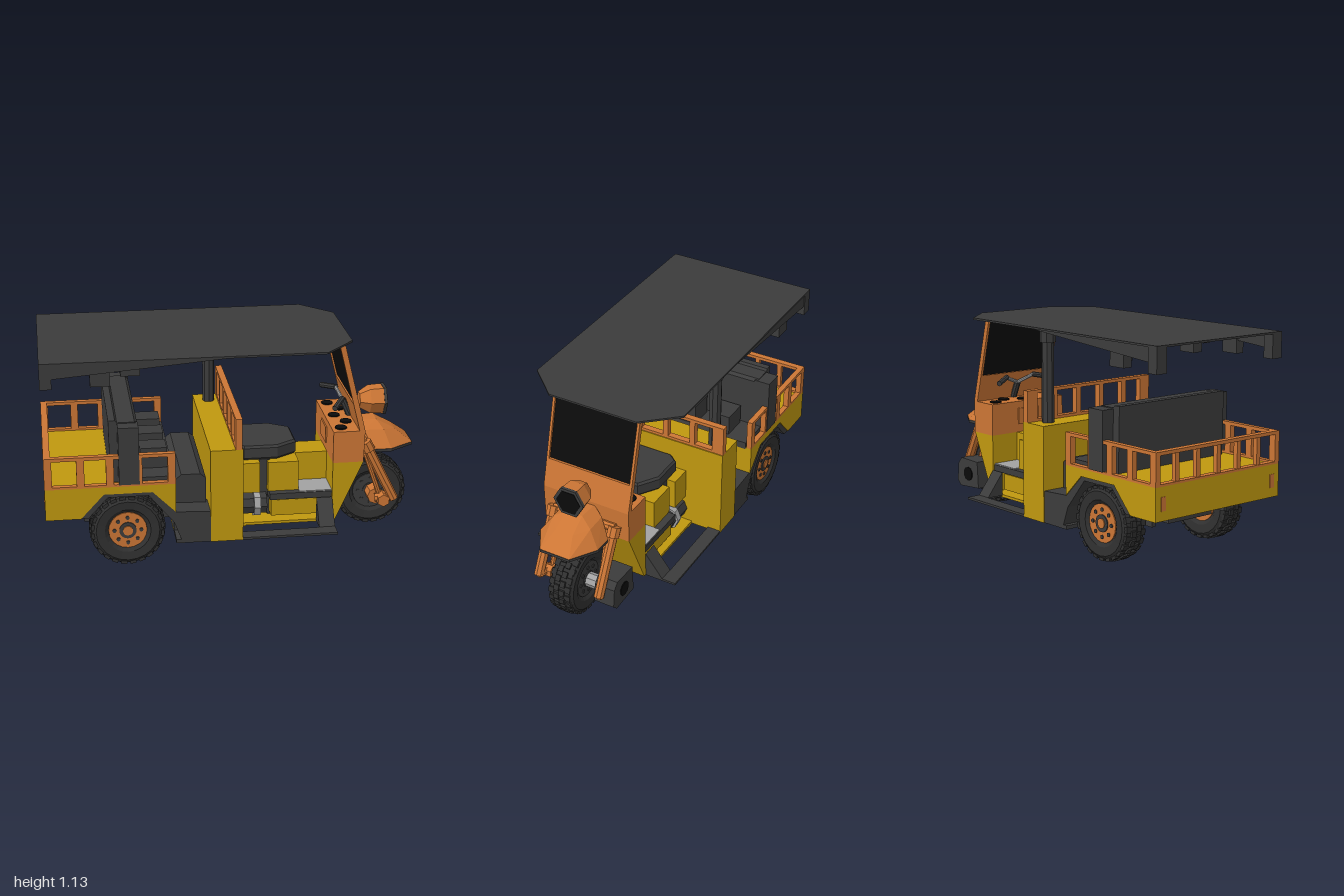
import * as THREE from 'three';
import { ConvexGeometry } from 'three/addons/geometries/ConvexGeometry.js';

const mat = (name, color) => {
  const m = new THREE.MeshStandardMaterial({ color, flatShading: true });
  m.name = name;
  return m;
};

export function createModel() {
  const model = new THREE.Group();
  const orange = mat('orange paint', 0xcc7635), yellow = mat('yellow paint', 0xc0980f);
  const dark = mat('dark grey', 0x3c3c3c), black = mat('black', 0x0b0b0b);
  const tyre = mat('tyre rubber', 0x303030), grey = mat('light grey metal', 0xa2a2a2);

  const add = (name, geo, m, parent = model) => {
    const mesh = new THREE.Mesh(geo, m);
    mesh.name = name;
    parent.add(mesh);
    return mesh;
  };
  // Box given by its minimum and maximum on each axis
  const box = (name, m, x0, x1, y0, y1, z0, z1, parent) => {
    const b = add(name, new THREE.BoxGeometry(x1 - x0, y1 - y0, z1 - z0), m, parent);
    b.position.set((x0 + x1) / 2, (y0 + y1) / 2, (z0 + z1) / 2);
    return b;
  };
  // Side profile (x, y) extruded from z0 to z1
  const slab = (name, m, pts, z0, z1) => {
    const s = new THREE.Shape(pts.map(p => new THREE.Vector2(...p)));
    const g = new THREE.ExtrudeGeometry(s, { depth: z1 - z0, bevelEnabled: false });
    return add(name, g.translate(0, 0, z0), m);
  };
  // Rod between two points
  const rod = (name, m, a, b, r, sides = 8) => {
    const A = new THREE.Vector3(...a), B = new THREE.Vector3(...b), d = B.clone().sub(A);
    const mesh = add(name, new THREE.CylinderGeometry(r, r, d.length(), sides), m);
    mesh.position.copy(A).add(B).multiplyScalar(0.5);
    mesh.quaternion.setFromUnitVectors(new THREE.Vector3(0, 1, 0), d.normalize());
    return mesh;
  };
  const sides = [1, -1];
  // Extruded profile on both sides, between |z| = a and b
  const pair = (name, m, pts, a, b) => sides.forEach(s => slab(name, m, pts, s > 0 ? a : -b, s > 0 ? b : -a));
  const boxPair = (name, m, x0, x1, y0, y1, a, b) =>
    sides.forEach(s => box(name, m, x0, x1, y0, y1, s > 0 ? a : -b, s > 0 ? b : -a));

  // Roof with chamfered front
  const roofShape = new THREE.Shape([[-1, -0.425], [0.45, -0.425], [0.61, -0.25], [0.61, 0.25],
    [0.45, 0.425], [-1, 0.425]].map(p => new THREE.Vector2(...p)));
  add('roof', new THREE.ExtrudeGeometry(roofShape, { depth: 0.01, bevelEnabled: false })
    .rotateX(Math.PI / 2).translate(0, 1.135, 0), dark);
  // Tapered roof beams and hanging blocks
  pair('outerRoofBeam', dark, [[-0.96, 1.128], [-0.96, 1.05], [0, 1.128]], 0.37, 0.42);
  pair('innerRoofBeam', dark, [[-0.65, 1.128], [-0.65, 1.055], [0.05, 1.128]], 0.22, 0.27);
  boxPair('rearRoofBlock', dark, -1, -0.94, 1, 1.128, 0.36, 0.425);
  boxPair('middleRoofBlock', dark, -0.75, -0.65, 1, 1.128, 0.36, 0.41);
  boxPair('innerRoofBlock', dark, -0.59, -0.49, 1, 1.128, 0.21, 0.27);
  // Single roof post
  rod('roofPost', dark, [-0.07, 0.62, -0.33], [-0.07, 1.13, -0.33], 0.033);
  rod('postCap', dark, [-0.07, 1.05, -0.33], [-0.07, 1.13, -0.33], 0.043);

  // Partition wall and its rail
  box('partitionWall', yellow, -0.15, 0.02, 0.12, 0.63, -0.425, 0.425);
  const partitionRail = [[0.78, 0.797], [0.63, 0.645]];
  partitionRail.forEach(([a, b]) => box('partitionRail', orange, -0.02, 0.015, a, b, -0.425, 0.425));
  boxPair('partitionEndPost', orange, -0.02, 0.015, 0.64, 0.785, 0.36, 0.425);
  [-0.24, -0.08, 0.08, 0.24].forEach(z => box('partitionPost', orange, -0.02, 0.015, 0.64, 0.785, z - 0.015, z + 0.015));

  // Rear bed with wheel arches
  box('bedCentre', yellow, -1, -0.34, 0.29, 0.46, -0.26, 0.26);
  pair('bedSide', yellow, [[-1, 0.29], [-0.82, 0.29], [-0.70, 0.42], [-0.45, 0.42], [-0.33, 0.30], [-0.33, 0.46], [-1, 0.46]], 0.26, 0.425);
  pair('wheelArch', dark, [[-0.82, 0.29], [-0.78, 0.29], [-0.68, 0.40], [-0.47, 0.40], [-0.34, 0.24], [-0.30, 0.13],
    [-0.15, 0.12], [-0.15, 0.29], [-0.33, 0.30], [-0.45, 0.42], [-0.70, 0.42]], 0.26, 0.42);
  boxPair('archInnerWall', dark, -0.8, -0.35, 0.2, 0.41, 0.24, 0.262);
  box('rearChassis', dark, -0.8, -0.33, 0.2, 0.29, -0.15, 0.15);
  boxPair('tailLight', orange, -1.003, -0.999, 0.34, 0.41, 0.36, 0.39);
  // Bed rails
  boxPair('sideRailTop', orange, -1, -0.33, 0.612, 0.63, 0.395, 0.425);
  boxPair('sideRailBottom', orange, -1, -0.33, 0.46, 0.472, 0.395, 0.425);
  [-0.98, -0.815, -0.665, -0.52, -0.35].forEach(x => boxPair('sideRailPost', orange, x - 0.02, x + 0.02, 0.465, 0.62, 0.395, 0.425));
  box('rearRailTop', orange, -1, -0.965, 0.612, 0.63, -0.425, 0.425);
  box('rearRailBottom', orange, -1, -0.965, 0.46, 0.472, -0.425, 0.425);
  for (let i = 1; i < 6; i++) {
    const z = -0.42 + i * 0.14;
    box('rearRailPost', orange, -0.995, -0.97, 0.465, 0.62, z - 0.013, z + 0.013);
  }

  // Passenger bench, armrest and footwell
  slab('benchBack', dark, [[-0.66, 0.46], [-0.515, 0.46], [-0.515, 0.77], [-0.53, 0.785], [-0.62, 0.785], [-0.63, 0.797], [-0.665, 0.797]], -0.36, 0.36);
  boxPair('benchBackWing', dark, -0.62, -0.515, 0.47, 0.78, 0.34, 0.43);
  box('benchCushion', dark, -0.52, -0.33, 0.45, 0.49, -0.39, 0.39);
  [-0.21, 0, 0.21].forEach(z => box('armrest', dark, -0.5, -0.36, 0.48, 0.6, z - 0.06, z + 0.06));
  slab('benchFront', dark, [[-0.33, 0.13], [-0.16, 0.13], [-0.16, 0.43], [-0.19, 0.455], [-0.29, 0.455], [-0.33, 0.42]], -0.3, 0.3);
  box('footwellFloor', dark, -0.33, -0.14, 0.12, 0.14, -0.42, 0.42);

  // Floor: yellow underside with an engine opening, open running boards at the sides
  boxPair('floorSide', yellow, 0, 0.53, 0.12, 0.135, 0.13, 0.25);
  box('floorRear', yellow, -0.33, 0.06, 0.115, 0.13, -0.25, 0.25);
  box('floorFront', yellow, 0.4, 0.53, 0.12, 0.135, -0.13, 0.13);
  boxPair('runningBoard', dark, 0.02, 0.525, 0.12, 0.132, 0.35, 0.425);
  boxPair('runningBoardFront', dark, 0.45, 0.525, 0.12, 0.132, 0.25, 0.36);
  sides.forEach(s => {
    const p = [];
    for (const x of [0.44, 0.525]) p.push([x, 0.13, 0.25], [x, 0.26, 0.25], [x, 0.13, 0.35]);
    add('boardGusset', new ConvexGeometry(p.map(q => new THREE.Vector3(q[0], q[1], q[2] * s))), dark);
  });

  // Driver seat, pedestal and engine
  const seat = new THREE.Shape([[0.02, -0.12], [0.06, -0.17], [0.24, -0.17], [0.35, -0.1], [0.35, 0.1],
    [0.24, 0.17], [0.06, 0.17], [0.02, 0.12]].map(p => new THREE.Vector2(...p)));
  add('driverSeat', new THREE.ExtrudeGeometry(seat, { depth: 0.055, bevelThickness: 0.012, bevelSize: 0.01, bevelOffset: -0.01, bevelSegments: 1 })
    .rotateX(Math.PI / 2).translate(0, 0.528, 0), dark);
  box('seatPedestalRear', yellow, 0.02, 0.14, 0.29, 0.46, -0.21, 0.21);
  box('seatPedestalCore', dark, 0.13, 0.2, 0.25, 0.46, -0.16, 0.16);
  box('seatPedestalFront', yellow, 0.185, 0.35, 0.29, 0.455, -0.2, 0.2);
  slab('centreTunnel', yellow, [[0.34, 0.29], [0.54, 0.29], [0.54, 0.455], [0.34, 0.455]], -0.08, 0.08);
  box('footFloorSlab', dark, 0.19, 0.53, 0.255, 0.29, -0.24, 0.24);
  box('footFloor', grey, 0.35, 0.53, 0.29, 0.296, -0.235, 0.235);
  boxPair('batteryBox', yellow, 0.2, 0.46, 0.155, 0.245, 0.14, 0.22);
  boxPair('batteryFrame', dark, 0.19, 0.53, 0.135, 0.26, 0.13, 0.15);
  rod('engineBlock', dark, [0.02, 0.2, 0], [0.17, 0.2, 0], 0.085, 10);
  sides.forEach(s => {
    rod('engineCylinder', dark, [0.02, 0.21, 0.16 * s], [0.18, 0.21, 0.16 * s], 0.06, 8);
    rod('engineRing', grey, [0.11, 0.21, 0.16 * s], [0.145, 0.21, 0.16 * s], 0.073, 8);
  });
  box('gearbox', grey, 0.15, 0.32, 0.15, 0.25, -0.06, 0.06);

  // Front cowl and dashboard
  slab('cowlLower', yellow, [[0.525, 0.12], [0.54, 0.12], [0.69, 0.455], [0.525, 0.455]], -0.25, 0.25);
  slab('cowlUpper', orange, [[0.525, 0.455], [0.69, 0.455], [0.695, 0.63], [0.525, 0.63]], -0.25, 0.25);
  [-0.19, -0.1, 0, 0.1, 0.19].forEach((z, i) => {
    const g = add('gauge', new THREE.CylinderGeometry(0.032, 0.032, 0.008, 10), black);
    g.position.set(i % 2 ? 0.62 : 0.575, 0.633, z);
  });
  box('gloveBox', orange, 0.518, 0.526, 0.5, 0.59, -0.07, 0.07);

  // Sloped windscreen: posts, cross bars, lower panel and glass
  const slope = y => 0.695 - (y - 0.63) * 0.25;
  const screen = (name, m, y0, y1, z0, z1, t = 0.03, out = 0) => slab(name, m,
    [[slope(y0) - t, y0], [slope(y0) + out, y0], [slope(y1) + out, y1], [slope(y1) - t, y1]], z0, z1);
  screen('screenLowerPanel', orange, 0.63, 0.78, -0.25, 0.25);
  screen('screenTopBar', orange, 1.11, 1.127, -0.25, 0.25);
  sides.forEach(s => screen('screenPost', orange, 0.78, 1.11, s > 0 ? 0.236 : -0.25, s > 0 ? 0.25 : -0.236));
  screen('windscreen', black, 0.78, 1.11, -0.236, 0.236, 0.02, -0.012);

  // Handlebar
  rod('handlebarStem', dark, [0.66, 0.63, 0], [0.62, 0.72, 0], 0.018);
  sides.forEach(s => {
    rod('handlebarArm', grey, [0.62, 0.72, 0], [0.6, 0.76, 0.1 * s], 0.01);
    rod('handlebarGrip', dark, [0.6, 0.76, 0.09 * s], [0.54, 0.74, 0.19 * s], 0.015);
  });

  // Six-sided headlamp
  const hex = (name, m, r0, r1, x0, x1) => {
    const g = new THREE.CylinderGeometry(r1, r0, x1 - x0, 6).rotateZ(-Math.PI / 2);
    add(name, g, m).position.set((x0 + x1) / 2, 0.715, 0);
  };
  hex('headlampShell', orange, 0.045, 0.078, 0.71, 0.765);
  hex('headlampBody', orange, 0.078, 0.083, 0.765, 0.838);
  hex('headlampRim', dark, 0.087, 0.087, 0.836, 0.852);
  hex('headlampLens', black, 0.07, 0.07, 0.845, 0.855);

  // Faceted front mudguard with dark lip and grey underside
  const half = [[0.7, 0.11], [0.76, 0.17], [0.86, 0.17], [0.995, 0.085]];
  const ring = (y, k = 1) => sides.flatMap(s => half.map(([x, z]) => new THREE.Vector3(0.85 + (x - 0.85) * k, y, z * k * s)));
  const crown = sides.flatMap(s => [[0.69, 0.612, 0.05], [0.8, 0.615, 0.045], [0.72, 0.58, 0.11], [0.83, 0.575, 0.11], [0.9, 0.56, 0.05]]
    .map(([x, y, z]) => new THREE.Vector3(x, y, z * s)));
  add('mudguard', new ConvexGeometry([...ring(0.487), ...crown]), orange);
  add('mudguardLip', new ConvexGeometry([...ring(0.472), ...ring(0.488, 1.005)]), dark);
  add('mudguardUnderside', new ConvexGeometry([...ring(0.468, 0.92), ...ring(0.474, 0.92)]), grey);

  // Front fork, hub and side box
  sides.forEach(s => {
    rod('forkLeg', orange, [0.71, 0.54, 0.18 * s], [0.88, 0.2, 0.18 * s], 0.027);
    rod('forkSleeve', orange, [0.71, 0.54, 0.18 * s], [0.735, 0.49, 0.18 * s], 0.035);
    rod('forkStay', orange, [0.72, 0.47, 0.14 * s], [0.81, 0.21, 0.145 * s], 0.014);
    rod('axleArm', orange, [0.78, 0.2, 0.16 * s], [0.88, 0.21, 0.18 * s], 0.025);
  });
  rod('forkBridge', orange, [0.71, 0.53, -0.18], [0.71, 0.53, 0.18], 0.022);
  rod('frontHub', orange, [0.79, 0.2, 0.06], [0.79, 0.2, 0.14], 0.045, 8);
  rod('frontCaliper', orange, [0.82, 0.2, 0.13], [0.82, 0.2, 0.21], 0.035, 6);
  rod('frontAxle', grey, [0.78, 0.2, -0.14], [0.78, 0.2, -0.05], 0.04, 8);
  slab('sideBox', dark, [[0.66, 0.13], [0.83, 0.12], [0.86, 0.15], [0.85, 0.25], [0.82, 0.285], [0.67, 0.28]], -0.255, -0.14);
  rod('sideBoxCap', black, [0.755, 0.2, -0.26], [0.755, 0.2, -0.25], 0.04, 10);

  // Wheels: tyre of revolution, tread blocks, rim and bolts
  const tyreProfile = [[0.1, -0.05], [0.12, -0.066], [0.165, -0.07], [0.186, -0.055], [0.191, 0], [0.186, 0.055],
    [0.165, 0.07], [0.12, 0.066], [0.1, 0.05], [0.1, -0.05]].map(p => new THREE.Vector2(...p));
  const wheel = (name, x, z, rimMat) => {
    const w = new THREE.Group();
    w.name = name;
    w.position.set(x, 0.2, z);
    model.add(w);
    add('tyre', new THREE.LatheGeometry(tyreProfile, 24).rotateX(Math.PI / 2), tyre, w);
    for (let i = 0; i < 24; i++) for (let k = 0; k < 4; k++) {
      const a = (i + (k % 2) / 2) * Math.PI / 12, r = k % 3 ? 0.189 : 0.182;
      const t = add('treadBlock', new THREE.BoxGeometry(0.018, 0.032, 0.028), tyre, w);
      t.position.set(r * Math.cos(a), r * Math.sin(a), -0.048 + k * 0.032);
      t.rotation.z = a;
    }
    const disc = (n, r, d, m) => add(n, new THREE.CylinderGeometry(r, r, d, 20).rotateX(Math.PI / 2), m, w);
    disc('rim', 0.1, 0.11, rimMat);
    disc('hubRing', 0.045, 0.122, dark);
    disc('hubCap', 0.026, 0.132, orange);
    for (let i = 0; i < 8; i++) sides.forEach(s => {
      const b = disc('bolt', 0.01, 0.008, dark);
      b.position.set(0.07 * Math.cos(i * Math.PI / 4), 0.07 * Math.sin(i * Math.PI / 4), 0.056 * s);
    });
  };
  wheel('frontWheel', 0.78, 0, dark);
  sides.forEach(s => wheel('rearWheel', -0.58, 0.34 * s, orange));
  rod('rearAxle', dark, [-0.58, 0.2, -0.3], [-0.58, 0.2, 0.3], 0.035);
  return model;
}
